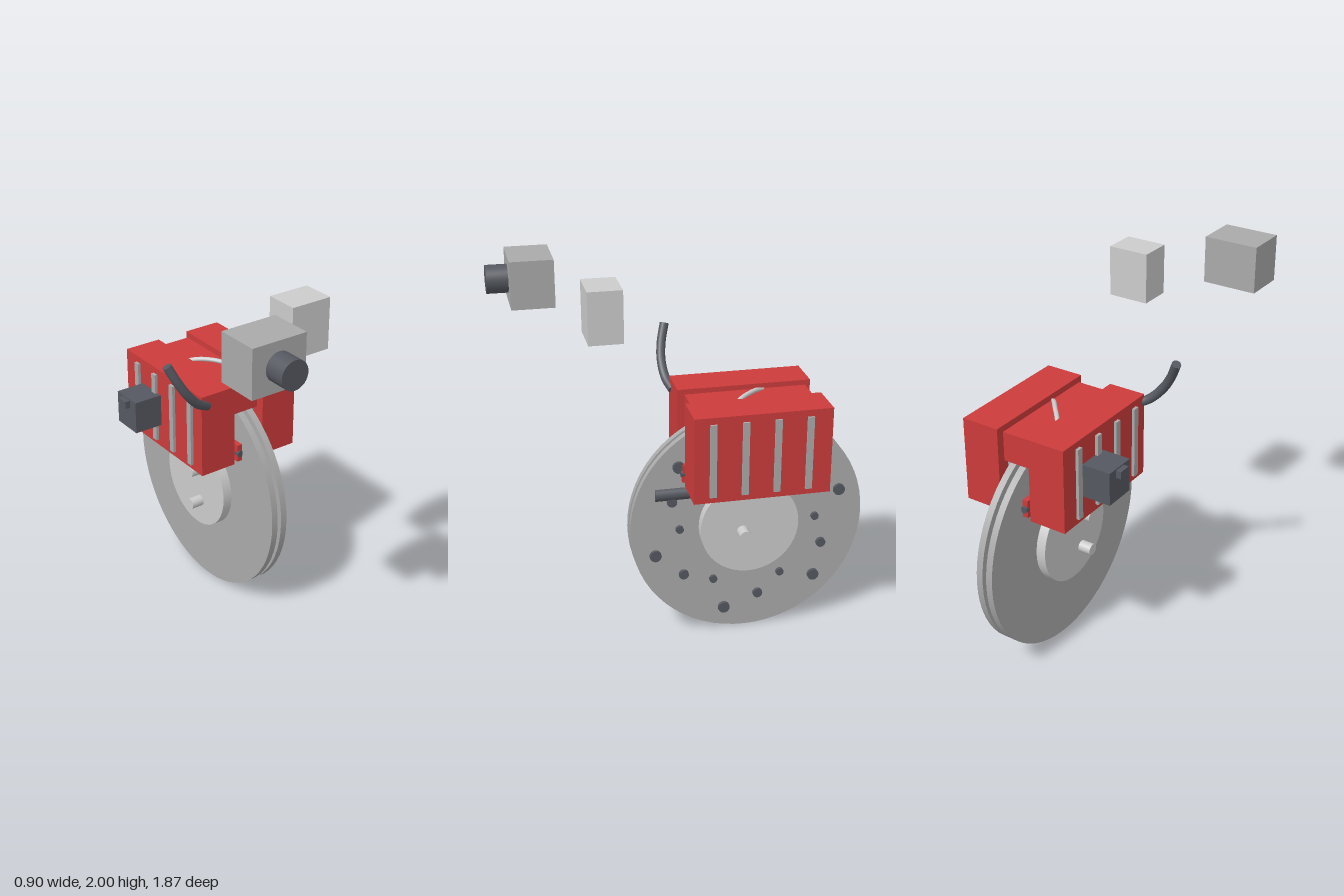
import * as THREE from 'three';

const mat = (color) => new THREE.MeshStandardMaterial({ color });

export function createModel() {
  const model = new THREE.Group();
  const red = mat(0xcc3b3b), dark = mat(0x555860), steel = mat(0xaaaaaa), grey = mat(0xcccccc);
  const CX = 0.135, CY = 0.627, CZ = -0.31; // rotor centre

  const add = (name, geo, material) => {
    const mesh = new THREE.Mesh(geo, material);
    mesh.name = name;
    model.add(mesh);
    return mesh;
  };
  // box from its extents on each axis
  const box = (name, [x0, x1], [y0, y1], [z0, z1], material) =>
    add(name, new THREE.BoxGeometry(x1 - x0, y1 - y0, z1 - z0), material)
      .position.set((x0 + x1) / 2, (y0 + y1) / 2, (z0 + z1) / 2);
  // cylinder along x or z between two coordinates
  const cylX = (name, r, x0, x1, y, z, material, seg = 24) => {
    const g = new THREE.CylinderGeometry(r, r, x1 - x0, seg).rotateZ(-Math.PI / 2);
    add(name, g, material).position.set((x0 + x1) / 2, y, z);
  };
  const cylZ = (name, r, z0, z1, x, y, material, seg = 24) => {
    const g = new THREE.CylinderGeometry(r, r, z1 - z0, seg).rotateX(Math.PI / 2);
    add(name, g, material).position.set(x, y, (z0 + z1) / 2);
  };
  const tube = (name, pts, r, material) => {
    const curve = new THREE.CatmullRomCurve3(pts.map((p) => new THREE.Vector3(...p)));
    add(name, new THREE.TubeGeometry(curve, 32, r, 12), material);
    [0, 1].forEach((t) => { // closed ends
      const cap = add(name + 'Cap', new THREE.CircleGeometry(r, 12), material);
      const dir = curve.getTangent(t).multiplyScalar(t ? 1 : -1);
      cap.position.copy(curve.getPoint(t));
      cap.quaternion.setFromUnitVectors(new THREE.Vector3(0, 0, 1), dir);
    });
  };

  // Ventilated rotor and hub
  cylX('rotorDiscRight', 0.622, 0.088, 0.124, CY, CZ, steel, 64);
  cylX('rotorDiscLeft', 0.622, 0.146, 0.182, CY, CZ, steel, 64);
  cylX('hub', 0.262, 0.035, 0.235, CY, CZ, grey, 48);
  for (let i = 0; i < 18; i++) {
    const a = (i / 18) * Math.PI * 2;
    const vane = add('coolingVane', new THREE.BoxGeometry(0.024, 0.2, 0.025), steel);
    vane.position.set(CX, CY + 0.35 * Math.cos(a), CZ + 0.35 * Math.sin(a));
    vane.rotation.x = a;
  }

  // Dark drill marks: three rings of six, [ring radius, start angle, mark radius]
  for (const [ring, start, r] of [[0.365, 0, 0.021], [0.436, 0.38, 0.026], [0.513, 0.765, 0.031]]) {
    for (let i = 0; i < 6; i++) {
      const a = start + (i * Math.PI) / 3;
      cylX('drillMark', r, 0.15, 0.2, CY + ring * Math.sin(a), CZ + ring * Math.cos(a), dark, 16);
    }
  }

  // Five studs spread around the hub in the x-y plane
  for (let i = 0; i < 5; i++) {
    const a = (i * Math.PI * 2) / 5;
    const x = CX + 0.174 * Math.cos(a);
    cylX('hubStud', 0.031, x - 0.035, x + 0.035, CY + 0.174 * Math.sin(a), -0.26, grey, 16);
  }

  // Caliper halves with outer ribs
  box('caliperRight', [-0.16, 0.045], [0.89, 1.345], [-0.665, 0.035], red);
  box('caliperLeft', [0.227, 0.435], [0.89, 1.345], [-0.665, 0.035], red);
  box('caliperBridge', [0.055, 0.215], [1.165, 1.322], [-0.635, 0], red);
  for (let i = 0; i < 4; i++) {
    const z = -0.06 - i * 0.163;
    box('caliperRib', [0.425, 0.446], [0.922, 1.31], [z - 0.017, z + 0.017], steel);
    box('caliperRib', [-0.176, -0.15], [0.922, 1.31], [z - 0.017, z + 0.017], steel);
  }

  // Pistons, pads and pad pins on both faces of the rotor
  for (const s of [-1, 1]) {
    for (const z of [-0.18, -0.46]) {
      cylX('piston', 0.135, CX + s * 0.07 - 0.025, CX + s * 0.07 + 0.025, 1.14, z, steel, 32);
    }
    const x = CX + s * 0.061;
    box('brakePad', [x - 0.016, x + 0.016], [0.905, 1.0], [-0.668, 0.043], red);
    cylZ('padPin', 0.018, -0.68, 0.05, x, 0.95, dark, 16);
  }

  // Crossover pipe and brake hose
  tube('crossoverPipe', [[0.035, 1.3, -0.435], [0.085, 1.328, -0.375], [0.135, 1.335, -0.32],
    [0.185, 1.328, -0.26], [0.235, 1.3, -0.205]], 0.012, grey);
  tube('brakeHose', [[-0.12, 1.285, 0.025], [-0.19, 1.325, 0.048], [-0.26, 1.4, 0.056],
    [-0.31, 1.48, 0.045], [-0.352, 1.568, 0.02]], 0.024, dark);

  // Actuator on the right half, and the speed sensor by the rotor
  box('actuator', [-0.318, -0.16], [1.025, 1.202], [-0.513, -0.34], dark);
  box('actuatorPlug', [-0.347, -0.31], [1.155, 1.195], [-0.46, -0.393], dark);
  cylZ('speedSensor', 0.035, 0, 0.182, 0.172, 0.83, dark);

  // Separate control units
  box('pumpUnit', [-0.45, -0.158], [1.755, 2.0], [0.608, 0.828], steel);
  cylZ('pumpMotor', 0.072, 0.82, 0.937, -0.305, 1.878, dark, 32);
  box('controlUnit', [0.025, 0.245], [1.685, 1.95], [0.335, 0.507], grey);

  return model;
}
